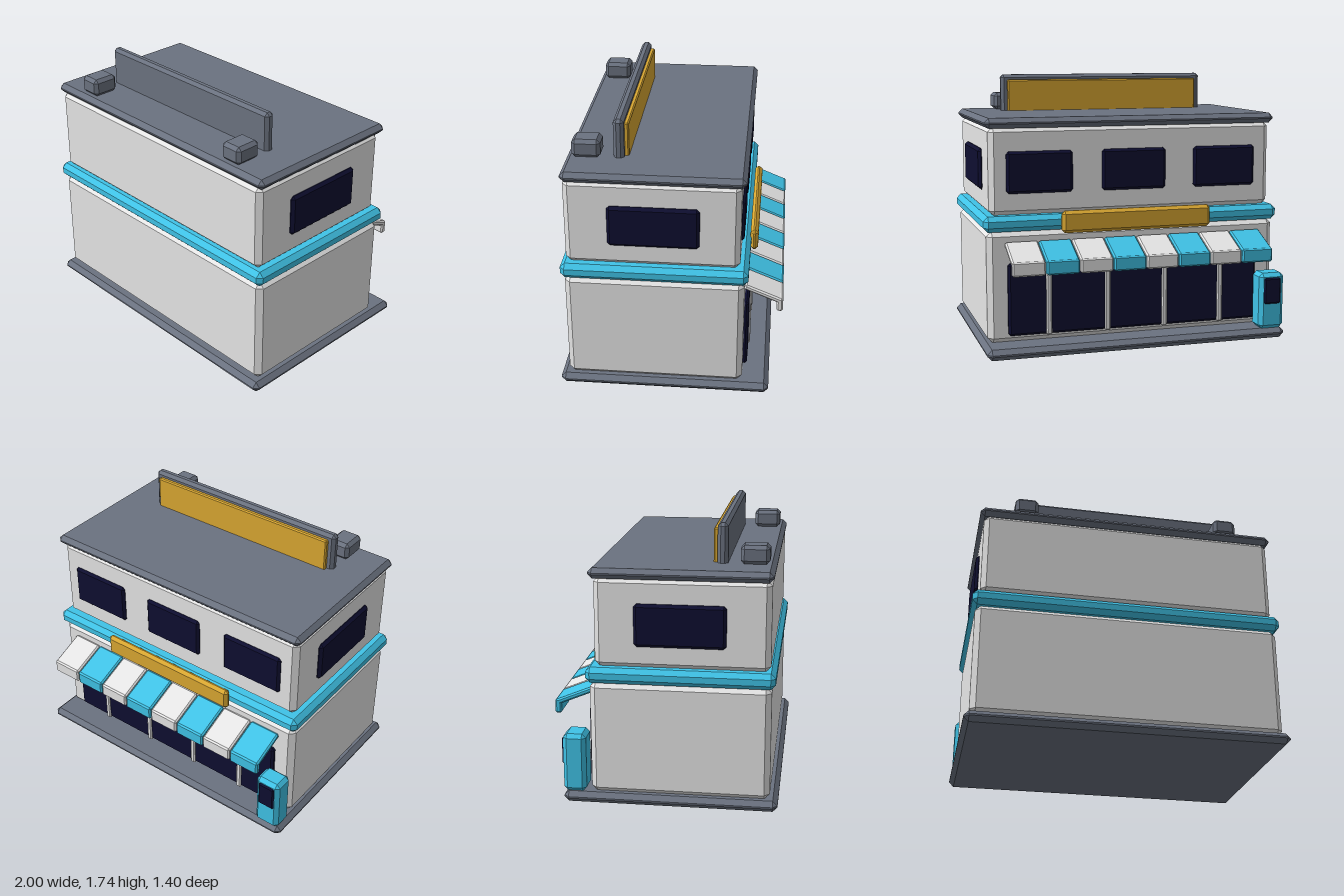
import * as THREE from 'three';
import { ConvexGeometry } from 'three/addons/geometries/ConvexGeometry.js';

const mat = (name, color) => {
  const m = new THREE.MeshStandardMaterial({ color });
  m.name = name;
  return m;
};

// Box with a flat chamfer on every edge, centred on the origin
function chamferBox(w, h, d, b) {
  const half = [w / 2, h / 2, d / 2];
  const points = [];
  for (const sx of [-1, 1]) for (const sy of [-1, 1]) for (const sz of [-1, 1]) {
    for (let full = 0; full < 3; full++) {
      const c = half.map((v, i) => (i === full ? v : v - b));
      points.push(new THREE.Vector3(c[0] * sx, c[1] * sy, c[2] * sz));
    }
  }
  return new ConvexGeometry(points);
}

export function createModel() {
  const wall = mat('off-white', 0xe6e6e6);
  const slate = mat('slate grey', 0x6b7280);
  const blue = mat('sky blue', 0x40c4e8);
  const gold = mat('gold', 0xdaa832);
  const glass = mat('dark glass', 0x0e0e30);

  const model = new THREE.Group();
  model.name = 'shop';

  // Adds a chamfered block given its extents on each axis
  const block = (name, material, [x0, x1], [y0, y1], [z0, z1], bevel) => {
    const mesh = new THREE.Mesh(chamferBox(x1 - x0, y1 - y0, z1 - z0, bevel), material);
    mesh.position.set((x0 + x1) / 2, (y0 + y1) / 2, (z0 + z1) / 2);
    mesh.name = name;
    model.add(mesh);
    return mesh;
  };

  // Building storeys
  block('base', slate, [-1, 1], [0, 0.07], [-0.63, 0.7], 0.03);
  block('lowerWalls', wall, [-0.967, 0.967], [0.065, 0.785], [-0.46, 0.65], 0.035);
  block('band', blue, [-0.988, 0.988], [0.78, 0.88], [-0.483, 0.673], 0.03);
  block('upperWalls', wall, [-0.942, 0.942], [0.875, 1.435], [-0.43, 0.64], 0.033);
  block('roof', slate, [-0.967, 0.967], [1.425, 1.49], [-0.46, 0.65], 0.028);

  // Rooftop billboard and ventilation units
  block('billboard', slate, [-0.72, 0.72], [1.45, 1.735], [0.293, 0.358], 0.02);
  block('billboardFace', gold, [-0.678, 0.678], [1.46, 1.7], [0.267, 0.3], 0.008);
  for (const s of [-1, 1]) {
    const x = s * 0.667;
    block('roofVent', slate, [x - 0.075, x + 0.075], [1.49, 1.605], [0.435, 0.612], 0.022);
  }

  // Upper windows: one on each side, three above the storefront
  for (const s of [-1, 1]) {
    const x = s * 0.942;
    block('sideWindow', glass, [x - 0.023, x + 0.023], [1.015, 1.28], [-0.184, 0.375], 0.018);
  }
  for (const x of [-0.62, 0, 0.62]) {
    block('upperWindow', glass, [x - 0.214, x + 0.214], [1.015, 1.28], [-0.448, -0.41], 0.016);
  }

  // Storefront glazing, mullions and door header
  block('storefrontGlass', glass, [-0.84, 0.84], [0.115, 0.58], [-0.487, -0.44], 0.014);
  for (const x of [-0.58, -0.193, 0.193, 0.58]) {
    block('mullion', wall, [x - 0.018, x + 0.018], [0.11, 0.575], [-0.498, -0.465], 0.008);
  }
  block('doorHeader', blue, [-0.18, 0.18], [0.53, 0.58], [-0.496, -0.465], 0.008);

  // Shop sign over the awning
  block('shopSign', gold, [-0.497, 0.497], [0.763, 0.905], [-0.527, -0.477], 0.02);

  // Striped awning: sloping panels with a hanging valance
  const pitch = 0.2155;
  for (let i = 0; i < 8; i++) {
    const x = (i - 3.5) * pitch - 0.004;
    const material = i % 2 ? wall : blue;
    const xs = [x - 0.105, x + 0.105];
    const panel = block('awningPanel', material, xs, [0.64, 0.675], [-0.7, -0.45], 0.01);
    panel.rotation.x = -0.39;
    block('awningValance', material, xs, [0.54, 0.632], [-0.7, -0.66], 0.01);
  }

  // Kiosk beside the entrance
  block('kiosk', blue, [-0.985, -0.812], [0.07, 0.445], [-0.632, -0.488], 0.025);
  block('kioskScreen', glass, [-0.957, -0.84], [0.24, 0.415], [-0.642, -0.615], 0.01);

  return model;
}
